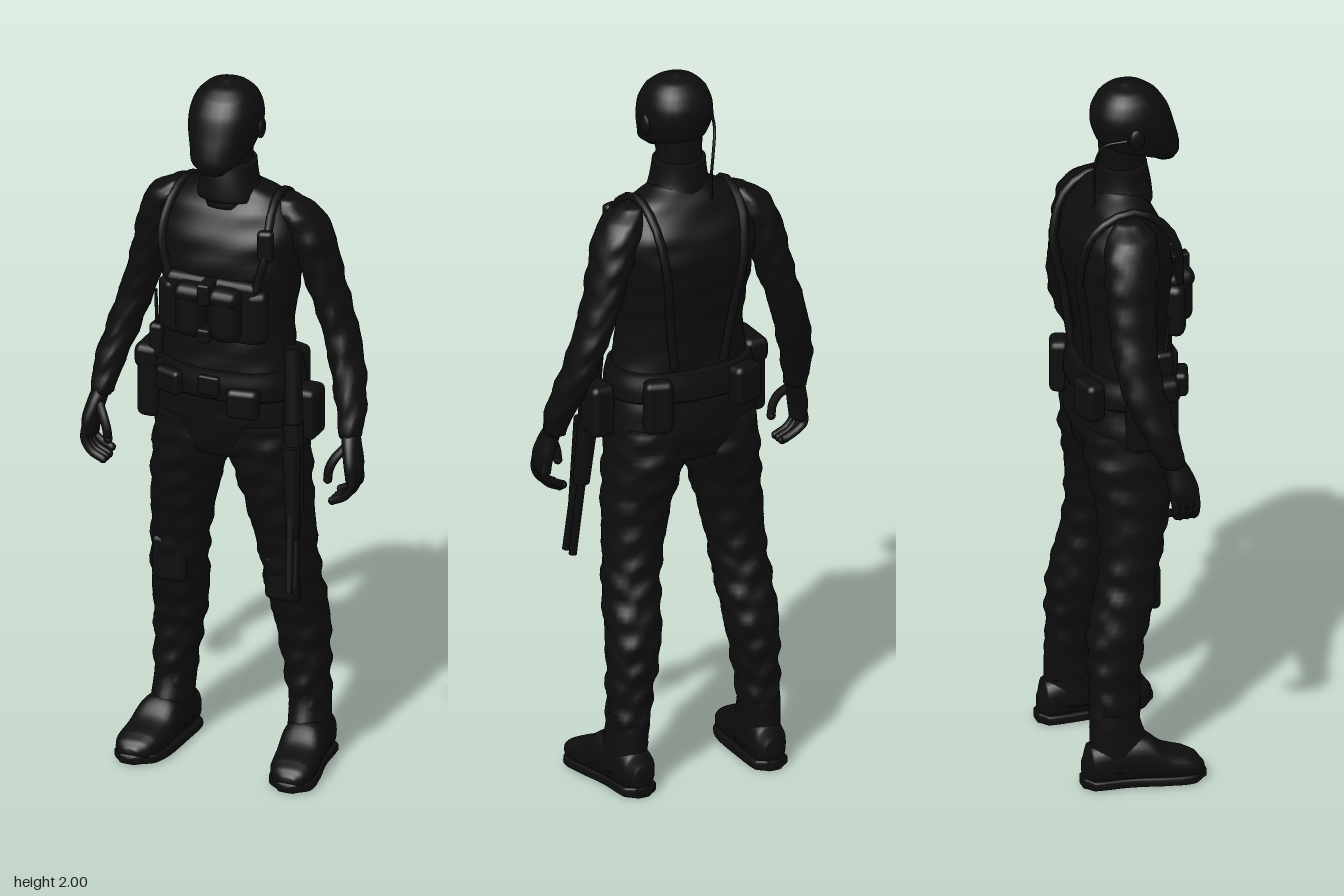
import * as THREE from 'three';
import { RoundedBoxGeometry } from 'three/addons/geometries/RoundedBoxGeometry.js';

const black = new THREE.MeshStandardMaterial({ color: 0x0d0d0d });
black.name = 'matte black';

// Loft of rounded sections. Rows ascend along the axis:
// axis y: [y, xMin, xMax, zMin, zMax]; axis z: [z, xMin, xMax, yMin, yMax].
function loft(rows, { axis = 'y', power = 2, wrinkle = 0, seg = 28, sub = 5 } = {}) {
  const pos = [], idx = [];
  const rings = (rows.length - 1) * sub + 1;
  const sample = (k, i, t) => {
    const at = (j) => rows[Math.max(0, Math.min(rows.length - 1, j))][k];
    const a = at(i), b = at(i + 1), m0 = (b - at(i - 1)) / 2, m1 = (at(i + 2) - a) / 2;
    if (k === 0) return a + (b - a) * t;
    const t2 = t * t, t3 = t2 * t;
    return (2 * t3 - 3 * t2 + 1) * a + (t3 - 2 * t2 + t) * m0 + (3 * t2 - 2 * t3) * b + (t3 - t2) * m1;
  };
  const round = (v) => Math.sign(v) * Math.abs(v) ** (2 / power);
  for (let r = 0; r < rings; r++) {
    const i = Math.min(rows.length - 2, Math.floor(r / sub)), t = r / sub - i;
    let [h, x0, x1, c0, c1] = [0, 1, 2, 3, 4].map((k) => sample(k, i, t));
    if (axis === 'y') [c0, c1] = [-c1, -c0];
    for (let s = 0; s < seg; s++) {
      const a = (s / seg) * Math.PI * 2;
      const w = wrinkle * Math.sin(h * 75 + 2 * Math.sin(a * 2)) * Math.sin(a * 3 + h * 11);
      pos.push((x0 + x1) / 2 + round(Math.cos(a)) * ((x1 - x0) / 2 + w),
        (c0 + c1) / 2 + round(Math.sin(a)) * ((c1 - c0) / 2 + w), h);
    }
  }
  for (let r = 0; r < rings - 1; r++) {
    for (let s = 0; s < seg; s++) {
      const a = r * seg + s, b = r * seg + (s + 1) % seg;
      idx.push(a, b, b + seg, a, b + seg, a + seg);
    }
  }
  // End caps
  for (const [row, up] of [[0, false], [rings - 1, true]]) {
    const c = pos.length / 3, o = row * seg * 3, mid = [0, 0, pos[o + 2]];
    for (let s = 0; s < seg; s++) for (let k = 0; k < 2; k++) mid[k] += pos[o + s * 3 + k] / seg;
    pos.push(...mid);
    for (let s = 0; s < seg; s++) {
      const a = row * seg + s, b = row * seg + (s + 1) % seg;
      idx.push(c, up ? a : b, up ? b : a);
    }
  }
  const g = new THREE.BufferGeometry();
  g.setAttribute('position', new THREE.Float32BufferAttribute(pos, 3));
  g.setIndex(idx);
  if (axis === 'y') g.rotateX(-Math.PI / 2);
  g.computeVertexNormals();
  return g;
}

const V = (p) => new THREE.Vector3(...p);
const side = (rows, s) => (s > 0 ? rows : rows.map(([h, a, b, ...c]) => [h, -b, -a, ...c]));
// Rows given as centre and radii, turned into extents
const centred = (rows) => rows.map(([h, x, z, rx, rz]) => [h, x - rx, x + rx, z - rz, z + rz]);

export function createModel() {
  const model = new THREE.Group();
  const add = (name, geo, parent = model) => {
    const m = new THREE.Mesh(geo, black);
    m.name = name;
    parent.add(m);
    return m;
  };
  const box = (name, [x, y, z], [w, h, d], turn = 0, r = 0.012) => {
    const m = add(name, new RoundedBoxGeometry(w, h, d, 2, Math.min(r, w / 2.1, h / 2.1, d / 2.1)));
    m.position.set(x, y, z);
    m.rotation.y = turn;
    return m;
  };
  const tube = (name, pts, r, parent) =>
    add(name, new THREE.TubeGeometry(new THREE.CatmullRomCurve3(pts.map(V)), 20, r, 8), parent);
  const rod = (name, a, b, r0, r1 = r0, parent = model) => {
    const d = V(b).sub(V(a));
    const m = add(name, new THREE.CylinderGeometry(r1, r0, d.length(), 14), parent);
    m.position.copy(V(a).add(V(b)).multiplyScalar(0.5));
    m.quaternion.setFromUnitVectors(new THREE.Vector3(0, 1, 0), d.normalize());
    return m;
  };

  // Head with a masked face, neck and collar
  add('head', loft([
    [1.765, -0.035, 0.035, 0.08, 0.14], [1.79, -0.065, 0.065, 0.03, 0.15],
    [1.82, -0.082, 0.082, -0.06, 0.148], [1.87, -0.096, 0.096, -0.088, 0.135],
    [1.92, -0.096, 0.096, -0.09, 0.12], [1.96, -0.081, 0.081, -0.072, 0.095],
    [1.985, -0.054, 0.054, -0.045, 0.062], [2.0, -0.01, 0.01, -0.005, 0.02]], { power: 2.2 }));
  add('neck', loft([[1.64, -0.08, 0.08, -0.08, 0.07], [1.74, -0.062, 0.062, -0.07, 0.055],
    [1.84, -0.065, 0.065, -0.07, 0.06]]));
  add('collar', loft([[1.66, -0.095, 0.095, -0.09, 0.075], [1.71, -0.08, 0.08, -0.08, 0.07],
    [1.765, -0.073, 0.073, -0.075, 0.06]]));
  for (const s of [-1, 1]) {
    const ear = add('ear', new THREE.SphereGeometry(0.022, 14, 10));
    ear.scale.set(0.5, 1.4, 1);
    ear.position.set(0.095 * s, 1.87, 0.005);
  }
  tube('earpieceWire', [[-0.094, 1.87, -0.02], [-0.07, 1.85, -0.08], [-0.055, 1.79, -0.1],
    [-0.05, 1.73, -0.1], [-0.05, 1.66, -0.1]], 0.004);

  // Torso
  add('torso', loft([
    [0.93, -0.17, 0.17, -0.13, 0.095], [1.0, -0.21, 0.21, -0.15, 0.112],
    [1.1, -0.202, 0.202, -0.145, 0.122], [1.2, -0.188, 0.188, -0.125, 0.118],
    [1.3, -0.176, 0.176, -0.132, 0.113], [1.4, -0.188, 0.188, -0.15, 0.118],
    [1.5, -0.2, 0.2, -0.165, 0.117], [1.57, -0.205, 0.205, -0.157, 0.1],
    [1.63, -0.185, 0.185, -0.125, 0.07], [1.67, -0.14, 0.14, -0.1, 0.05],
    [1.705, -0.075, 0.075, -0.07, 0.04]], { power: 2.3, wrinkle: 0.003, seg: 40 }));

  // Chest rig: panel, magazine pouches, straps
  box('chestPanel', [0, 1.37, 0.105], [0.27, 0.18, 0.05], 0, 0.02);
  for (const s of [-1, 1]) {
    box('chestPouch', [0.05 * s, 1.365, 0.135], [0.085, 0.15, 0.072], 0, 0.03);
    box('chestPouchFlap', [0.05 * s, 1.42, 0.14], [0.088, 0.05, 0.07], 0, 0.025);
    box('sideChestPouch', [0.125 * s, 1.36, 0.1], [0.06, 0.15, 0.06], 0.5 * s, 0.02);
    const strap = tube('shoulderStrap', [[0.12 * s, 1.44, 0.115], [0.145 * s, 1.55, 0.103],
      [0.14 * s, 1.63, 0.065], [0.13 * s, 1.675, -0.02], [0.125 * s, 1.63, -0.12],
      [0.11 * s, 1.5, -0.162], [0.09 * s, 1.35, -0.14], [0.07 * s, 1.2, -0.125]], 0.012);
    strap.scale.x = 1.05;
  }
  box('chestClip', [0, 1.43, 0.145], [0.035, 0.06, 0.07], 0, 0.006);
  box('chestClip', [0, 1.31, 0.145], [0.035, 0.04, 0.07], 0, 0.006);
  box('shoulderPouch', [0.15, 1.57, 0.1], [0.045, 0.09, 0.03], 0.3);

  // Belt, pouches and radio
  add('belt', loft([[1.11, -0.21, 0.21, -0.152, 0.132], [1.15, -0.21, 0.21, -0.15, 0.135],
    [1.19, -0.2, 0.2, -0.142, 0.13]], { power: 2.3, seg: 40 }));
  box('beltBuckle', [0, 1.15, 0.133], [0.06, 0.055, 0.02], 0, 0.006);
  box('hipPouch', [-0.208, 1.1, 0.01], [0.065, 0.21, 0.14], 0, 0.02);
  box('hipPouchFlap', [-0.212, 1.17, 0.01], [0.07, 0.07, 0.145], 0, 0.02);
  box('frontPouch', [0.095, 1.11, 0.125], [0.09, 0.085, 0.045], 0.15, 0.016);
  box('frontPouch', [-0.12, 1.14, 0.12], [0.08, 0.07, 0.04], -0.3, 0.014);
  box('leftHipPouch', [0.235, 1.07, 0.01], [0.07, 0.145, 0.09], 0, 0.018);
  box('backPouch', [0.13, 1.11, -0.14], [0.08, 0.15, 0.055], -0.3, 0.018);
  box('backPouch', [-0.13, 1.13, -0.14], [0.09, 0.11, 0.055], 0.3, 0.018);
  box('radio', [-0.185, 1.22, 0.05], [0.04, 0.1, 0.05]);
  rod('radioAntenna', [-0.186, 1.25, 0.055], [-0.186, 1.37, 0.065], 0.006, 0.004);

  // Long weapon slung along the left thigh
  const gun = new THREE.Group();
  gun.name = 'slungWeapon';
  model.add(gun);
  rod('stock', [0.222, 1.05, 0.08], [0.212, 1.27, 0.06], 0.026, 0.024, gun);
  rod('receiver', [0.238, 0.82, 0.1], [0.222, 1.06, 0.08], 0.023, 0.03, gun);
  rod('foregrip', [0.242, 0.74, 0.13], [0.228, 1.0, 0.108], 0.018, 0.026, gun);
  rod('barrel', [0.248, 0.6, 0.168], [0.236, 0.84, 0.128], 0.011, 0.012, gun);
  rod('lowerTube', [0.248, 0.6, 0.13], [0.238, 0.84, 0.094], 0.011, 0.012, gun);

  for (const s of [-1, 1]) {
    const tag = s > 0 ? 'left' : 'right';
    // Sleeve and hand
    add(tag + 'Arm', loft(side(centred([
      [1.02, 0.362, 0.018, 0.03, 0.034], [1.1, 0.353, -0.008, 0.041, 0.046],
      [1.2, 0.326, -0.042, 0.046, 0.056], [1.3, 0.296, -0.06, 0.047, 0.06],
      [1.4, 0.263, -0.06, 0.05, 0.065], [1.5, 0.235, -0.055, 0.056, 0.07],
      [1.57, 0.213, -0.048, 0.06, 0.074], [1.63, 0.185, -0.04, 0.055, 0.066],
      [1.665, 0.155, -0.035, 0.03, 0.035]]), s), { wrinkle: 0.004 }));
    add(tag + 'Palm', loft(side(centred([
      [0.905, 0.383, 0.045, 0.018, 0.036], [0.95, 0.383, 0.043, 0.024, 0.042],
      [1.0, 0.372, 0.032, 0.025, 0.036], [1.05, 0.36, 0.015, 0.025, 0.028]]), s)));
    for (let f = 0; f < 4; f++) {
      const z = 0.017 + f * 0.019, lift = f === 0 ? 0.012 : 0;
      tube(tag + 'Finger', [[0.387 * s, 0.94, z], [0.39 * s, 0.9, z + 0.002],
        [0.37 * s, 0.868 + lift, z + 0.003], [0.335 * s, 0.85 + lift, z + 0.003]], 0.0115);
      const tip = add(tag + 'Fingertip', new THREE.SphereGeometry(0.0118, 10, 8));
      tip.position.set(0.335 * s, 0.85 + lift, z + 0.003);
    }
    tube(tag + 'Thumb', [[0.362 * s, 1.0, 0.045], [0.338 * s, 0.97, 0.068],
      [0.325 * s, 0.94, 0.076], [0.321 * s, 0.91, 0.076]], 0.0125);
    add(tag + 'ThumbTip', new THREE.SphereGeometry(0.0128, 10, 8)).position.set(0.321 * s, 0.91, 0.076);

    // Trouser leg
    add(tag + 'Leg', loft(side([
      [0.13, 0.148, 0.248, -0.15, -0.03], [0.19, 0.142, 0.25, -0.158, -0.022],
      [0.27, 0.13, 0.25, -0.156, -0.02], [0.36, 0.114, 0.25, -0.16, -0.016],
      [0.45, 0.1, 0.248, -0.155, 0.003], [0.55, 0.09, 0.241, -0.132, 0.034],
      [0.65, 0.075, 0.233, -0.116, 0.048], [0.8, 0.043, 0.226, -0.12, 0.08],
      [0.93, 0.004, 0.216, -0.143, 0.104], [1.03, 0.004, 0.205, -0.14, 0.11]], s),
    { wrinkle: 0.005, power: 2.2, sub: 8 }));
    box(tag + 'KneePad', [0.165 * s, 0.57, 0.02], [0.1, 0.13, 0.035], 0, 0.017);

    // Boot: shaft, shoe and sole, toes turned slightly outward
    add(tag + 'BootShaft', loft(side([
      [0.05, 0.145, 0.255, -0.165, 0.01], [0.12, 0.145, 0.255, -0.16, 0.0],
      [0.18, 0.143, 0.252, -0.16, -0.02], [0.22, 0.143, 0.25, -0.155, -0.025]], s)));
    add(tag + 'Boot', loft(side([
      [-0.178, 0.175, 0.215, 0.02, 0.08], [-0.16, 0.152, 0.243, 0.01, 0.12],
      [-0.08, 0.148, 0.257, 0.01, 0.14], [-0.01, 0.15, 0.27, 0.01, 0.14],
      [0.04, 0.154, 0.28, 0.01, 0.1], [0.1, 0.164, 0.284, 0.01, 0.08],
      [0.13, 0.182, 0.274, 0.012, 0.065], [0.145, 0.21, 0.25, 0.02, 0.045]], s), { axis: 'z', power: 2.6 }));
    add(tag + 'Sole', loft(side([
      [-0.183, 0.175, 0.22, 0, 0.03], [-0.16, 0.147, 0.248, 0, 0.03],
      [-0.06, 0.145, 0.258, 0, 0.03], [0.05, 0.148, 0.283, 0, 0.03],
      [0.11, 0.164, 0.287, 0, 0.03], [0.148, 0.205, 0.257, 0.004, 0.03]], s), { axis: 'z', power: 5 }));
  }
  return model;
}
